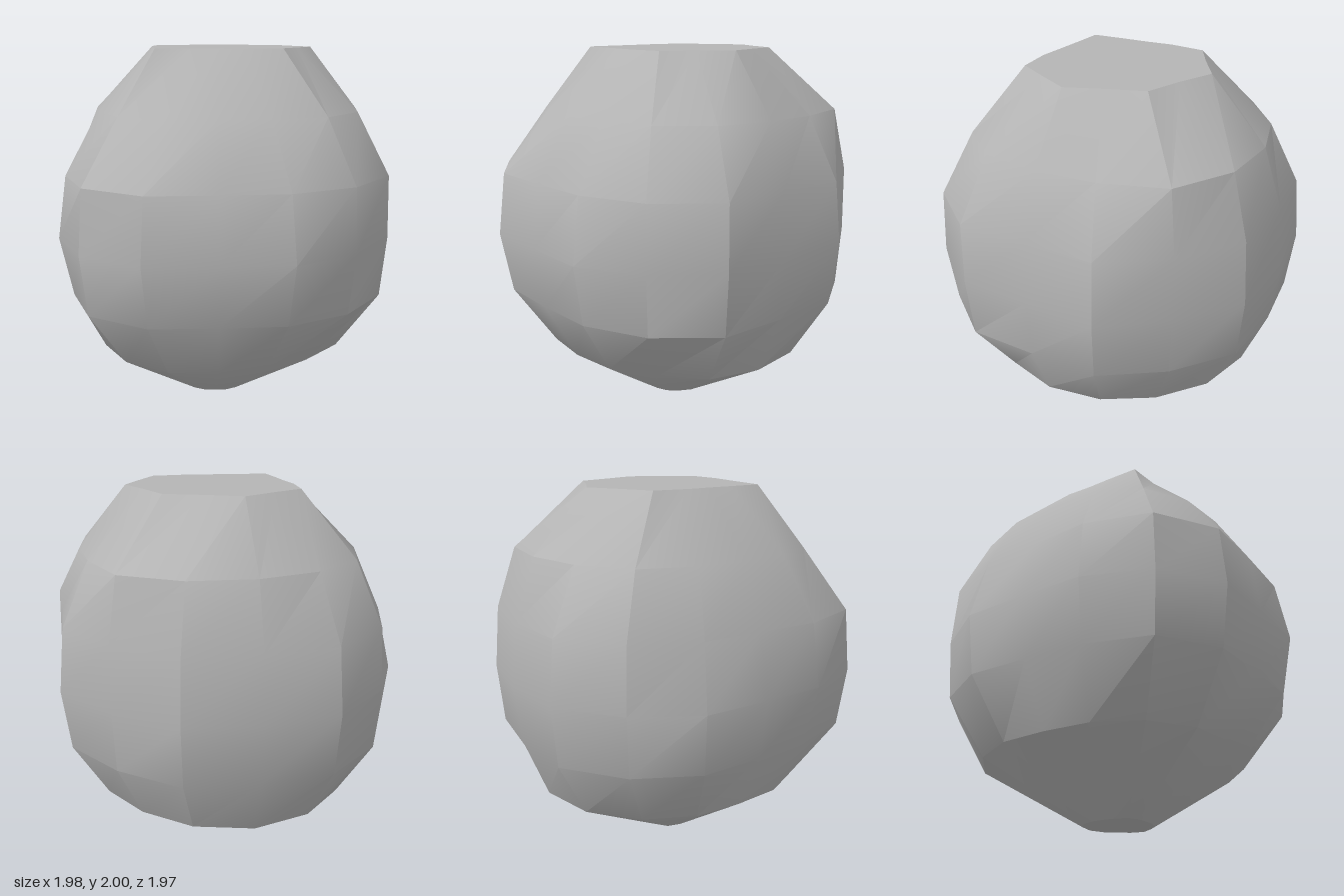
import * as THREE from 'three';
import { toCreasedNormals } from 'three/addons/utils/BufferGeometryUtils.js';

// Each level: height, then radii at 22.5 degree steps from the front (+z) towards the left (+x)
const levels = [
  { y: 0.0, r: [0.17, 0.16, 0.15, 0.16, 0.17, 0.18, 0.2, 0.19, 0.18, 0.2, 0.22, 0.22, 0.21, 0.18, 0.16, 0.16] },
  { y: 0.34, r: [0.7, 0.69, 0.66, 0.67, 0.69, 0.74, 0.76, 0.77, 0.78, 0.81, 0.83, 0.81, 0.76, 0.71, 0.66, 0.68] },
  { y: 0.67, r: [0.94, 0.92, 0.85, 0.9, 0.945, 0.97, 0.9, 0.97, 0.965, 1.0, 0.96, 1.0, 0.965, 0.91, 0.82, 0.85] },
  { y: 1.0, r: [0.985, 0.98, 0.9, 0.965, 0.985, 1.0, 0.92, 1.015, 0.987, 1.03, 1.0, 1.035, 0.99, 0.95, 0.87, 0.92] },
  { y: 1.34, r: [0.955, 0.94, 0.86, 0.905, 0.965, 0.99, 0.9, 0.98, 0.98, 1.0, 0.965, 1.0, 0.97, 0.87, 0.8, 0.87] },
  { y: 1.67, r: [0.71, 0.69, 0.66, 0.69, 0.78, 0.81, 0.79, 0.82, 0.91, 0.89, 0.85, 0.83, 0.81, 0.72, 0.66, 0.68] },
  { y: 2.0, r: [0.45, 0.36, 0.345, 0.39, 0.485, 0.47, 0.53, 0.49, 0.54, 0.49, 0.54, 0.465, 0.48, 0.385, 0.34, 0.36] },
];

// Skin the levels into a closed body with flat caps
function createBodyGeometry() {
  const sides = 16;
  const positions = [];
  const index = [];
  for (const { y, r } of levels) {
    r.forEach((radius, i) => {
      const a = (i / sides) * Math.PI * 2;
      positions.push(Math.sin(a) * radius, y, Math.cos(a) * radius);
    });
  }
  const bottom = levels.length * sides;
  const top = bottom + 1;
  positions.push(0, 0, 0, 0, 2, 0);

  for (let i = 0; i < sides; i++) {
    const j = (i + 1) % sides;
    for (let k = 0; k < levels.length - 1; k++) {
      const a = k * sides + i;
      const b = k * sides + j;
      index.push(a, b, b + sides, a, b + sides, a + sides);
    }
    const last = (levels.length - 1) * sides;
    index.push(bottom, j, i, top, last + i, last + j);
  }

  const geometry = new THREE.BufferGeometry();
  geometry.setAttribute('position', new THREE.Float32BufferAttribute(positions, 3));
  geometry.setIndex(index);
  return toCreasedNormals(geometry, 0.5);
}

export function createModel() {
  const model = new THREE.Group();
  model.name = 'boulder';
  const stone = new THREE.MeshStandardMaterial({ color: 0xb4b4b4 });
  stone.name = 'grey stone';
  const body = new THREE.Mesh(createBodyGeometry(), stone);
  body.name = 'boulderBody';
  model.add(body);
  return model;
}
